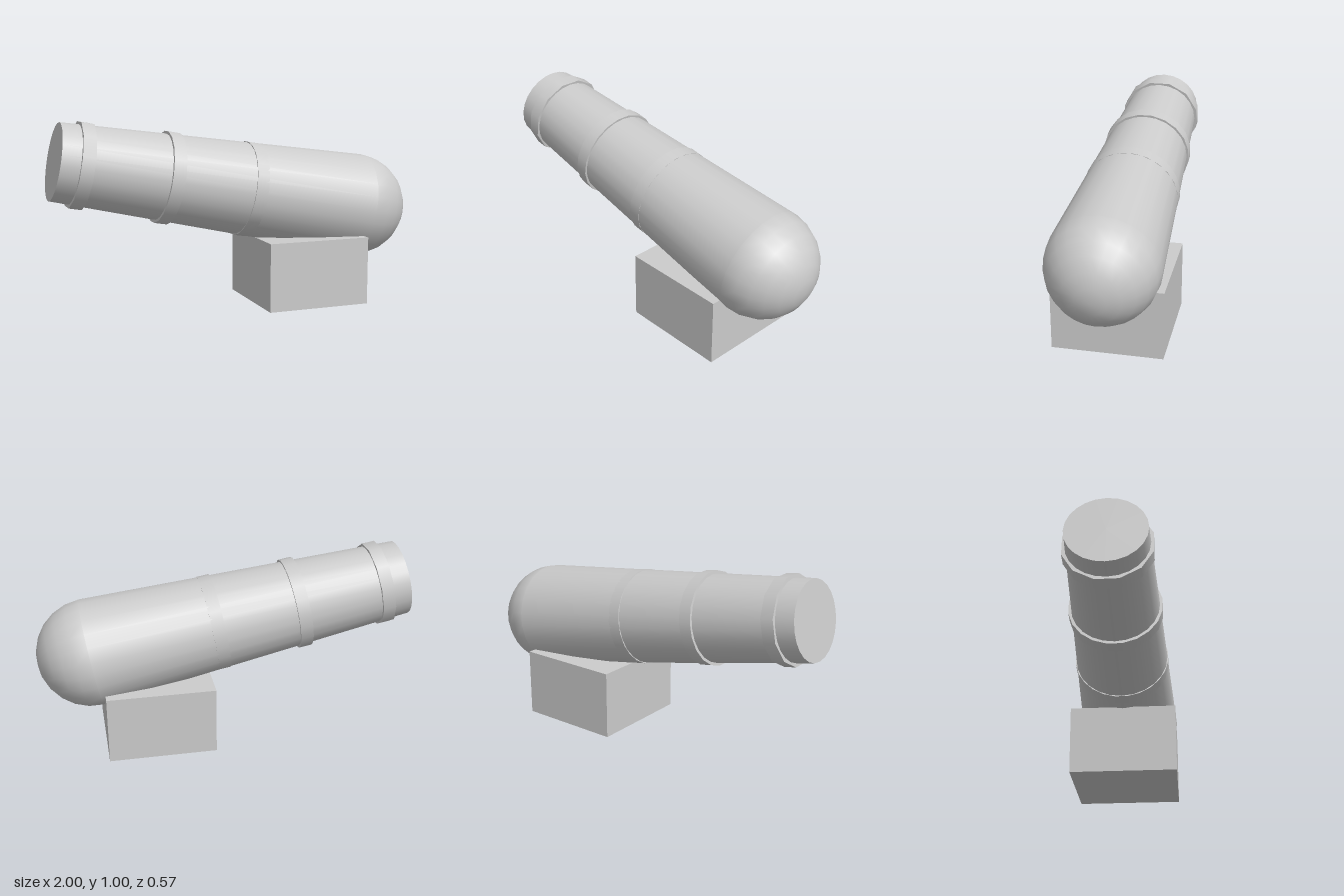
import * as THREE from 'three';

const BREECH_R = 0.285, MUZZLE_R = 0.2, LENGTH = 1.705;

export function createModel() {
  const model = new THREE.Group();
  model.name = 'cannon';
  const material = new THREE.MeshStandardMaterial({ color: 0xcccccc });

  function add(parent, name, geometry, y = 0) {
    const mesh = new THREE.Mesh(geometry, material);
    mesh.name = name;
    mesh.position.y = y;
    parent.add(mesh);
    return mesh;
  }

  // Block the barrel rests on
  const base = add(model, 'baseBlock', new THREE.BoxGeometry(0.57, 0.365, 0.57), 0.1825);
  base.position.x = 0.38;

  // Barrel group: local y runs from the breech to the muzzle, raised by 10 degrees
  const barrel = new THREE.Group();
  barrel.name = 'barrel';
  barrel.position.set(0.715, 0.508, 0);
  barrel.rotation.z = THREE.MathUtils.degToRad(80);
  model.add(barrel);

  add(barrel, 'barrelTube', new THREE.CylinderGeometry(MUZZLE_R, BREECH_R, LENGTH, 24), LENGTH / 2);

  // Rounded breech: the lower half of a sphere
  add(barrel, 'breechDome',
    new THREE.SphereGeometry(BREECH_R, 24, 6, 0, Math.PI * 2, Math.PI / 2, Math.PI / 2));

  // Reinforcing bands: [name, radius, sides, distance from breech]
  const bands = [
    ['rearBand', 0.255, 24, 0.665],
    ['middleBand', 0.243, 20, 1.116],
    ['muzzleBand', 0.225, 12, 1.574],
  ];
  for (const [name, radius, sides, y] of bands) {
    // Half a side of turn puts a flat on top
    add(barrel, name,
      new THREE.CylinderGeometry(radius, radius, 0.067, sides, 1, false, Math.PI / sides), y);
  }

  return model;
}
